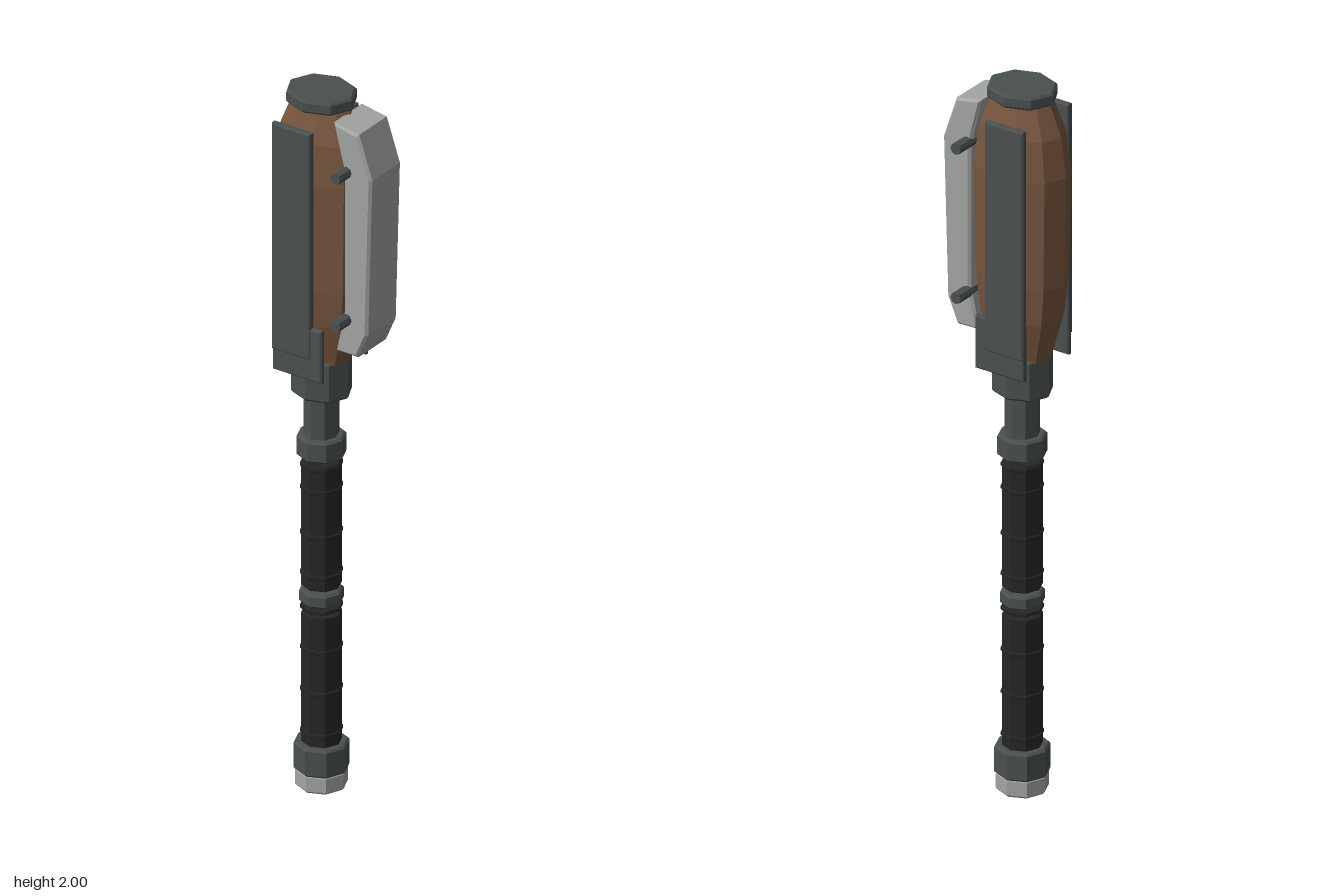
import * as THREE from 'three';

const mat = (name, color) => new THREE.MeshStandardMaterial({ name, color, flatShading: true });

export function createModel() {
  const steel = mat('darkSteel', 0x4a4f50);
  const light = mat('paleMetal', 0xa2a4a2);
  const brown = mat('brownShell', 0x79563f);
  const black = mat('blackGrip', 0x262626);

  const model = new THREE.Group();
  model.name = 'mace';
  const AXIS = -0.033; // x of the shaft

  const add = (name, geometry, material, x = 0, y = 0, z = 0) => {
    const mesh = new THREE.Mesh(geometry, material);
    mesh.name = name;
    mesh.position.set(x, y, z);
    model.add(mesh);
    return mesh;
  };

  // Faceted solid of revolution on the shaft axis, from [radius, height] pairs
  const turned = (name, pairs, material, sides = 8, depth = 1) => {
    const profile = pairs.map(([r, y]) => new THREE.Vector2(r, y));
    const mesh = add(name, new THREE.LatheGeometry(profile, sides, Math.PI / 2), material, AXIS);
    mesh.scale.z = depth;
    return mesh;
  };

  // Octagonal ring with chamfered rims
  const collar = (name, r, y0, y1, material, depth = 1, c = 0.006) =>
    turned(name, [[0, y0], [r - c, y0], [r, y0 + c], [r, y1 - c], [r - c, y1], [0, y1]], material, 8, depth);

  // Shaft, bottom to top
  collar('pommelCap', 0.069, 0, 0.052, light);
  collar('pommelCollar', 0.073, 0.048, 0.128, steel);
  collar('lowerGrip', 0.053, 0.12, 0.5, black, 1, 0.002);
  collar('gripSpacer', 0.056, 0.51, 0.522, black, 1, 0.002);
  collar('middleCollar', 0.058, 0.528, 0.567, steel);
  collar('upperGrip', 0.053, 0.576, 0.935, black, 1, 0.002);
  for (const y of [0.16, 0.28, 0.4, 0.615, 0.73, 0.86, 0.925]) {
    collar('gripRing', 0.056, y - 0.006, y + 0.006, black, 1, 0.002);
  }
  collar('neckCollar', 0.065, 0.949, 1.01, steel);
  collar('neck', 0.046, 1.005, 1.135, steel, 1, 0.002);
  collar('headSocket', 0.083, 1.13, 1.245, steel, 0.87);

  // Barrel-shaped head and its cap
  turned('headShell', [
    [0, 1.21], [0.075, 1.21], [0.118, 1.36], [0.13, 1.46],
    [0.137, 1.77], [0.122, 1.88], [0.085, 1.968], [0, 1.968],
  ], brown, 10, 0.73);
  collar('headCap', 0.097, 1.964, 2, steel, 0.86);

  // Pale casing that hugs the left side of the head
  const bevel = 0.007;
  const outline = new THREE.Shape([
    [0.066, 1.307], [0.12, 1.307], [0.148, 1.372], [0.161, 1.82],
    [0.122, 1.935], [0.057, 1.948], [0.09, 1.82], [0.09, 1.42],
  ].map(([x, y]) => new THREE.Vector2(x, y)));
  add('sideCasing', new THREE.ExtrudeGeometry(outline, {
    depth: 0.122, bevelEnabled: true, bevelThickness: bevel, bevelSize: bevel, bevelSegments: 1,
  }), light, 0, 0, -0.061);

  // Cross pins holding the casing
  for (const y of [1.402, 1.826]) {
    const pin = add('crossPin', new THREE.CylinderGeometry(0.016, 0.016, 0.236, 8), steel, 0.092, y, 0);
    pin.rotation.x = Math.PI / 2;
  }

  // Chamfered rectangular plate standing in the xy plane
  const plate = (name, x0, x1, y0, y1, thick, z) => {
    const b = 0.004;
    const shape = new THREE.Shape([
      new THREE.Vector2(x0 + b, y0 + b), new THREE.Vector2(x1 - b, y0 + b),
      new THREE.Vector2(x1 - b, y1 - b), new THREE.Vector2(x0 + b, y1 - b),
    ]);
    const geometry = new THREE.ExtrudeGeometry(shape, {
      depth: thick - 2 * b, bevelEnabled: true, bevelThickness: b, bevelSize: b, bevelSegments: 1,
    });
    add(name, geometry, steel, 0, 0, z - thick / 2 + b);
  };

  // Long plate and foot plate on the front and the back
  for (const side of [1, -1]) {
    plate('longPlate', -0.112, 0.008, 1.275, 1.925, 0.02, side * 0.1005);
    plate('footPlate', -0.112, 0.04, 1.215, 1.365, 0.017, side * 0.0985);
  }

  return model;
}
